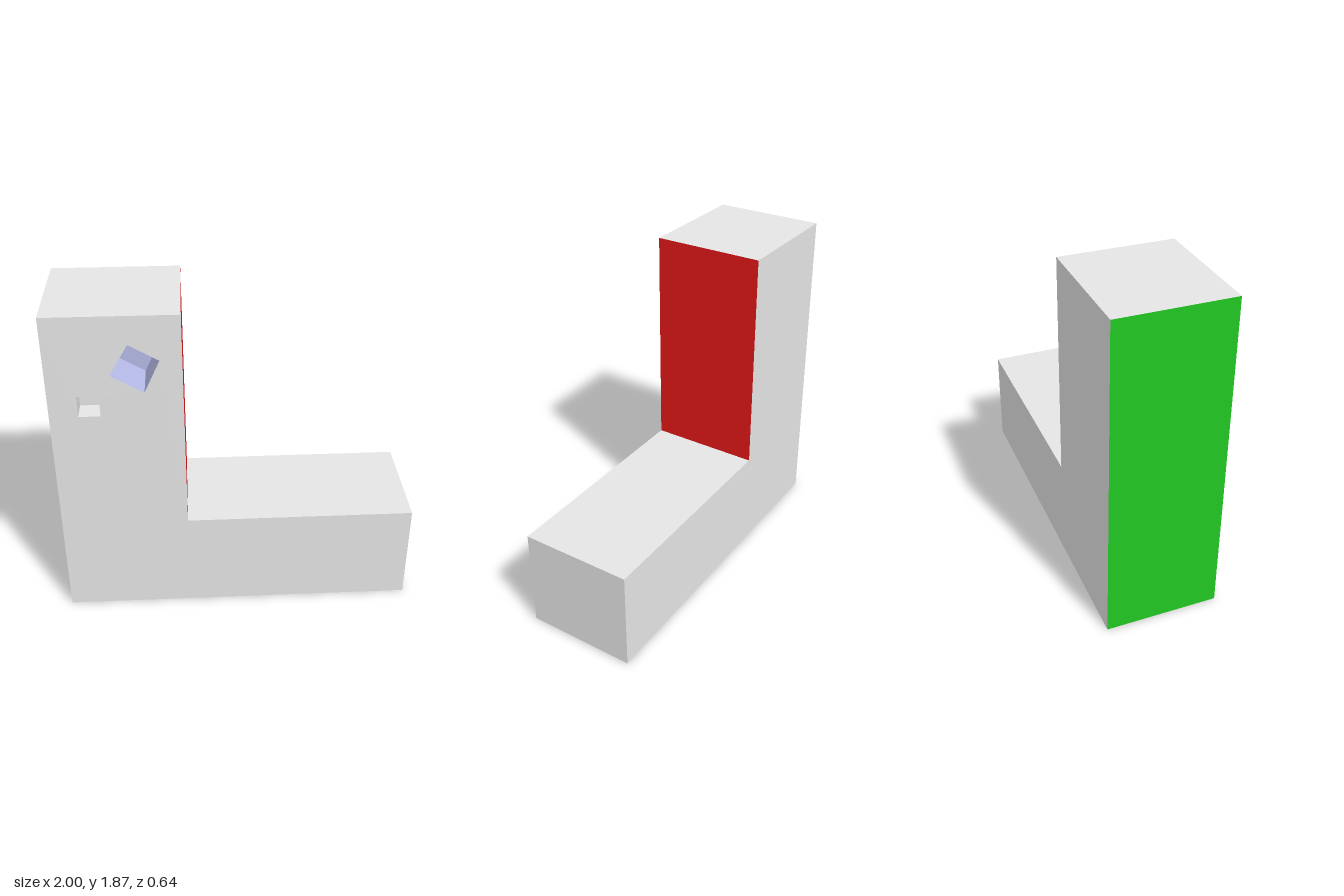
import * as THREE from 'three';

const HALF_DEPTH = 0.32;

function material(name, color) {
  const m = new THREE.MeshStandardMaterial({ color });
  m.name = name;
  return m;
}

function shapeOf(points) {
  return new THREE.Shape(points.map(([x, y]) => new THREE.Vector2(x, y)));
}

// Quad along the edge a-b between two depths; it faces right of the travel direction
function wall(a, b, z0, z1) {
  const g = new THREE.BufferGeometry();
  g.setAttribute('position', new THREE.Float32BufferAttribute(
    [...a, z0, ...b, z0, ...b, z1, ...a, z1], 3));
  g.setIndex([0, 1, 2, 0, 2, 3]);
  g.computeVertexNormals();
  return g;
}

export function createModel() {
  const grey = material('lightGrey', 0xe5e5e5);
  const red = material('red', 0xe51717);
  const green = material('green', 0x22c722);
  const blue = material('paleBlue', 0xb5bae7);

  const model = new THREE.Group();
  model.name = 'lShapedBlock';
  const add = (name, geometry, mat, parent = model) => {
    const mesh = new THREE.Mesh(geometry, mat);
    mesh.name = name;
    parent.add(mesh);
    return mesh;
  };

  // L outline, counter-clockwise
  const outline = [[-1, 0], [1, 0], [1, 0.588], [-0.29, 0.588], [-0.29, 1.87], [-1, 1.87]];
  const sides = [
    ['underside', grey], ['footEnd', grey], ['footTop', grey],
    ['innerColumnFace', red], ['columnTop', grey], ['outerColumnFace', green],
  ];

  // Pocket outlines, clockwise so that their walls face inward
  const pockets = [
    { name: 'squarePocket', mat: grey, depth: 0.12,
      points: [[-0.847, 1.297], [-0.847, 1.418], [-0.73, 1.418], [-0.73, 1.297]] },
    { name: 'tiltedPocket', mat: blue, depth: 0.24,
      points: [[-0.668, 1.537], [-0.565, 1.71], [-0.407, 1.617], [-0.492, 1.433]] },
  ];

  // Front face with pocket openings
  const front = shapeOf(outline);
  for (const p of pockets) front.holes.push(shapeOf(p.points));
  add('frontFace', new THREE.ShapeGeometry(front), grey).position.z = HALF_DEPTH;

  // Back face
  const back = new THREE.ShapeGeometry(shapeOf(outline.map(([x, y]) => [-x, y])));
  back.rotateY(Math.PI);
  add('backFace', back, grey).position.z = -HALF_DEPTH;

  // Outer sides
  sides.forEach(([name, mat], i) => {
    const next = outline[(i + 1) % outline.length];
    add(name, wall(outline[i], next, -HALF_DEPTH, HALF_DEPTH), mat);
  });

  // Recessed pockets
  for (const { name, mat, depth, points } of pockets) {
    const group = new THREE.Group();
    group.name = name;
    const floorZ = HALF_DEPTH - depth;
    points.forEach((p, i) => {
      add('pocketWall', wall(p, points[(i + 1) % points.length], floorZ, HALF_DEPTH), mat, group);
    });
    add('pocketFloor', new THREE.ShapeGeometry(shapeOf(points)), mat, group).position.z = floorZ;
    model.add(group);
  }

  return model;
}
